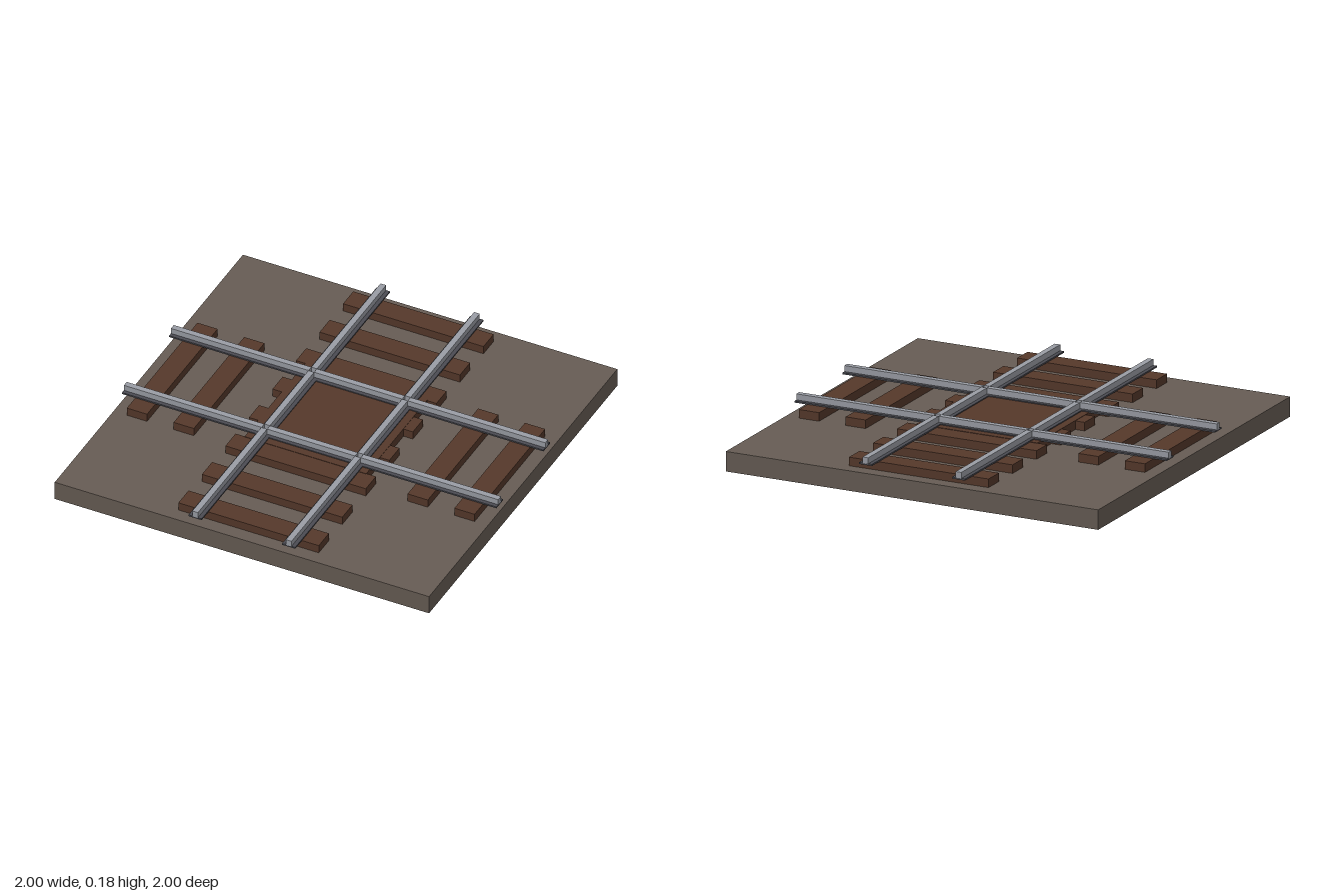
import * as THREE from 'three';

const material = (name, color) => {
  const m = new THREE.MeshStandardMaterial({ color });
  m.name = name;
  return m;
};

export function createModel() {
  const group = new THREE.Group();
  const ground = material('gravel brown', 0x665c54);
  const wood = material('dark wood', 0x55382a);
  const steel = material('light steel', 0x9a9da5);
  const darkSteel = material('dark steel', 0x4a4b52);

  // Box given by size, centre and underside height
  const box = (parent, name, mat, w, h, d, x, y, z) => {
    const mesh = new THREE.Mesh(new THREE.BoxGeometry(w, h, d), mat);
    mesh.name = name;
    mesh.position.set(x, y + h / 2, z);
    parent.add(mesh);
  };

  box(group, 'groundSlab', ground, 2, 0.1, 2, 0, 0, 0);

  // Sleepers of the main track and of the two side arms
  for (const s of [-1, 1]) {
    for (const p of [0.125, 0.375, 0.625, 0.875]) {
      box(group, 'mainSleeper', wood, 0.75, 0.043, 0.108, 0, 0.1, s * p);
      if (p > 0.5) box(group, 'crossSleeper', wood, 0.108, 0.043, 0.75, s * p, 0.1, 0);
    }
  }
  box(group, 'crossingPlate', wood, 0.65, 0.045, 0.65, 0, 0.1, 0);

  // Rails, interrupted by a small square gap at each crossing
  const gauge = 0.25, gap = 0.015;
  const spans = [[-1, -gauge - gap], [-gauge + gap, gauge - gap], [gauge + gap, 1]];
  for (const turn of [0, Math.PI / 2]) {
    const track = new THREE.Group();
    track.name = turn ? 'mainRails' : 'crossRails';
    track.rotation.y = turn;
    for (const z of [-gauge, gauge]) {
      for (const [a, b] of spans) {
        box(track, 'railFoot', darkSteel, b - a, 0.008, 0.07, (a + b) / 2, 0.142, z);
        box(track, 'railHead', steel, b - a, 0.032, 0.03, (a + b) / 2, 0.148, z);
      }
    }
    group.add(track);
  }
  return group;
}
